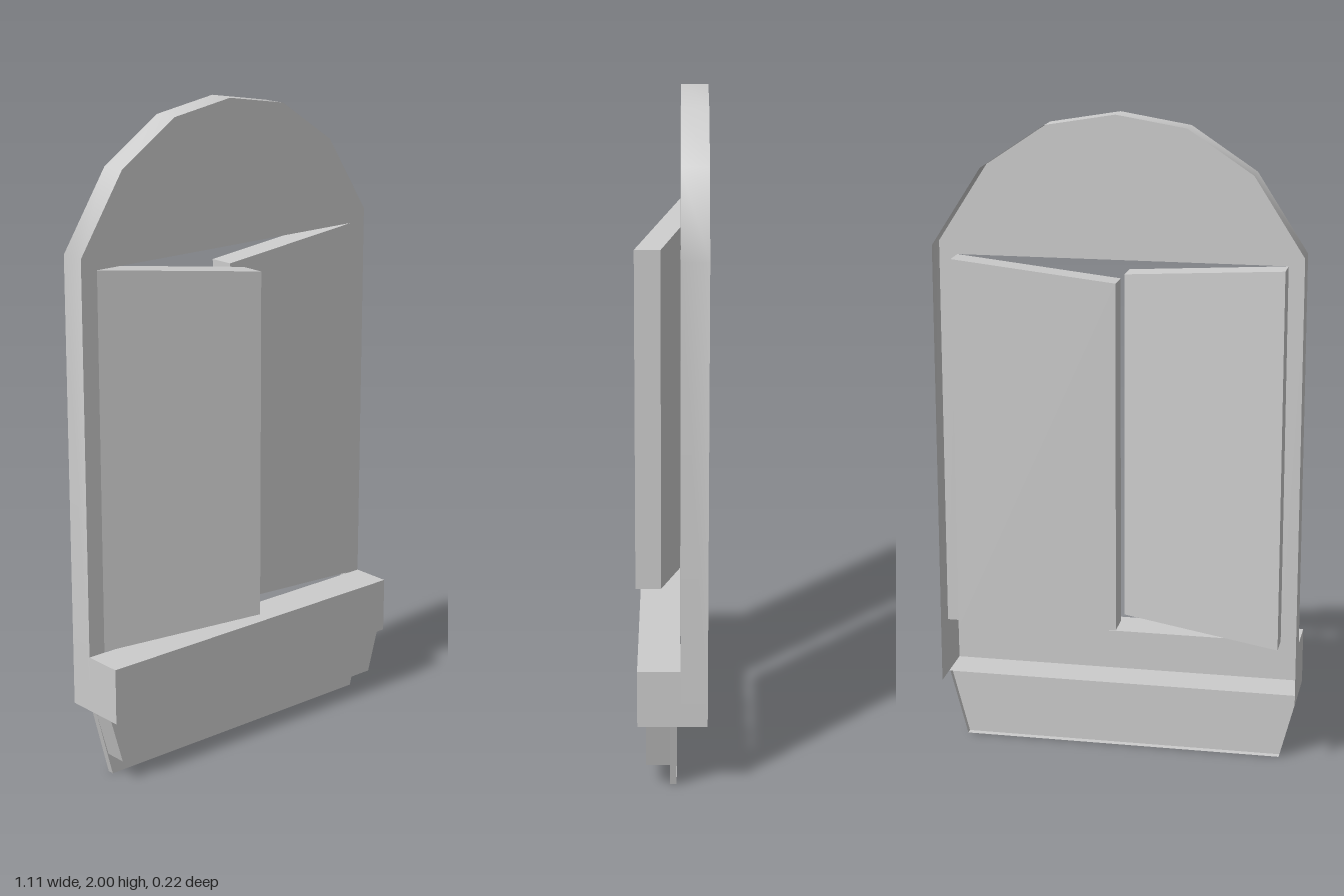
import * as THREE from 'three';

const material = new THREE.MeshStandardMaterial({ color: 0xcccccc, side: THREE.DoubleSide });

function addMesh(parent, name, geometry) {
  const mesh = new THREE.Mesh(geometry, material);
  mesh.name = name;
  parent.add(mesh);
}

// Flat front sheet with the given outline
function sheet(points, z) {
  const shape = new THREE.Shape(points.map(([x, y]) => new THREE.Vector2(x, y)));
  return new THREE.ShapeGeometry(shape).translate(0, 0, z);
}

// Wall running back from a counter-clockwise outline, from zFront to zBack
function wall(points, zFront, zBack, smooth = false) {
  const positions = [], index = [];
  points.forEach(([x, y], i) => {
    positions.push(x, y, zFront, x, y, zBack);
    if (i === points.length - 1) return;
    const a = i * 2;
    index.push(a, a + 1, a + 2, a + 1, a + 3, a + 2);
  });
  let geometry = new THREE.BufferGeometry();
  geometry.setAttribute('position', new THREE.Float32BufferAttribute(positions, 3));
  geometry.setIndex(index);
  if (!smooth) geometry = geometry.toNonIndexed();
  geometry.computeVertexNormals();
  return geometry;
}

// Shutter hinged at x = side * 0.5; its free edge is shorter and pushed out by swing
function shutter(side, swing) {
  const geometry = new THREE.BoxGeometry(0.5, 1.17, 0.08).translate(side * 0.25, 0.975, -0.07);
  const p = geometry.attributes.position;
  for (let i = 0; i < p.count; i++) {
    const t = 1 - Math.abs(p.getX(i)) / 0.5;
    p.setY(i, p.getY(i) + (p.getY(i) > 1 ? -0.055 : 0.03) * t);
    p.setZ(i, p.getZ(i) + swing * t);
  }
  geometry.computeVertexNormals();
  return geometry;
}

export function createModel() {
  const model = new THREE.Group();
  model.name = 'archedWindow';
  const W = 0.556, sillTop = 0.387, sillBottom = 0.213, front = -0.03, back = -0.11;

  // Arched frame: a front sheet around the opening and an outer wall, open at the back
  const frame = new THREE.Group();
  frame.name = 'frame';
  model.add(frame);
  const half = [[W, 1.6], [0.405, 1.835], [0.21, 1.965]];
  const arch = [...half, [0, 2], ...half.map(([x, y]) => [-x, y]).reverse()];
  addMesh(frame, 'frameFront', sheet([
    [W, sillTop], ...arch, [-W, sillTop],
    [-0.5, sillTop], [-0.5, 1.56], [0.5, 1.56], [0.5, sillTop],
  ], front));
  addMesh(frame, 'frameWall', wall([[W, sillBottom], ...arch, [-W, sillBottom]], front, back, true));

  // Shutters: one swung outward, the other closed
  addMesh(model, 'openShutter', shutter(-1, 0.14));
  addMesh(model, 'closedShutter', shutter(1, 0));

  // Sill: hollow box, open at the back
  const sill = new THREE.Group();
  sill.name = 'sill';
  model.add(sill);
  const rect = [[-W, sillBottom], [W, sillBottom], [W, sillTop], [-W, sillTop]];
  addMesh(sill, 'sillFront', sheet(rect, 0.095));
  addMesh(sill, 'sillSides', wall([...rect, rect[0]], 0.095, front));

  // Tapered apron below the sill, with a thin backing panel reaching the ground
  const apron = new THREE.Group();
  apron.name = 'apron';
  model.add(apron);
  const upper = [[-W, sillBottom], [-0.515, 0.07], [0.515, 0.07], [W, sillBottom]];
  const lower = [[-W, sillBottom], [-0.5, 0], [0.5, 0], [W, sillBottom]];
  addMesh(apron, 'apronFront', sheet(upper, 0.07));
  addMesh(apron, 'apronSides', wall(upper, 0.07, 0));
  addMesh(apron, 'backingPanel', sheet(lower, 0));
  addMesh(apron, 'backingRim', wall(lower, 0, -0.02));

  return model;
}
